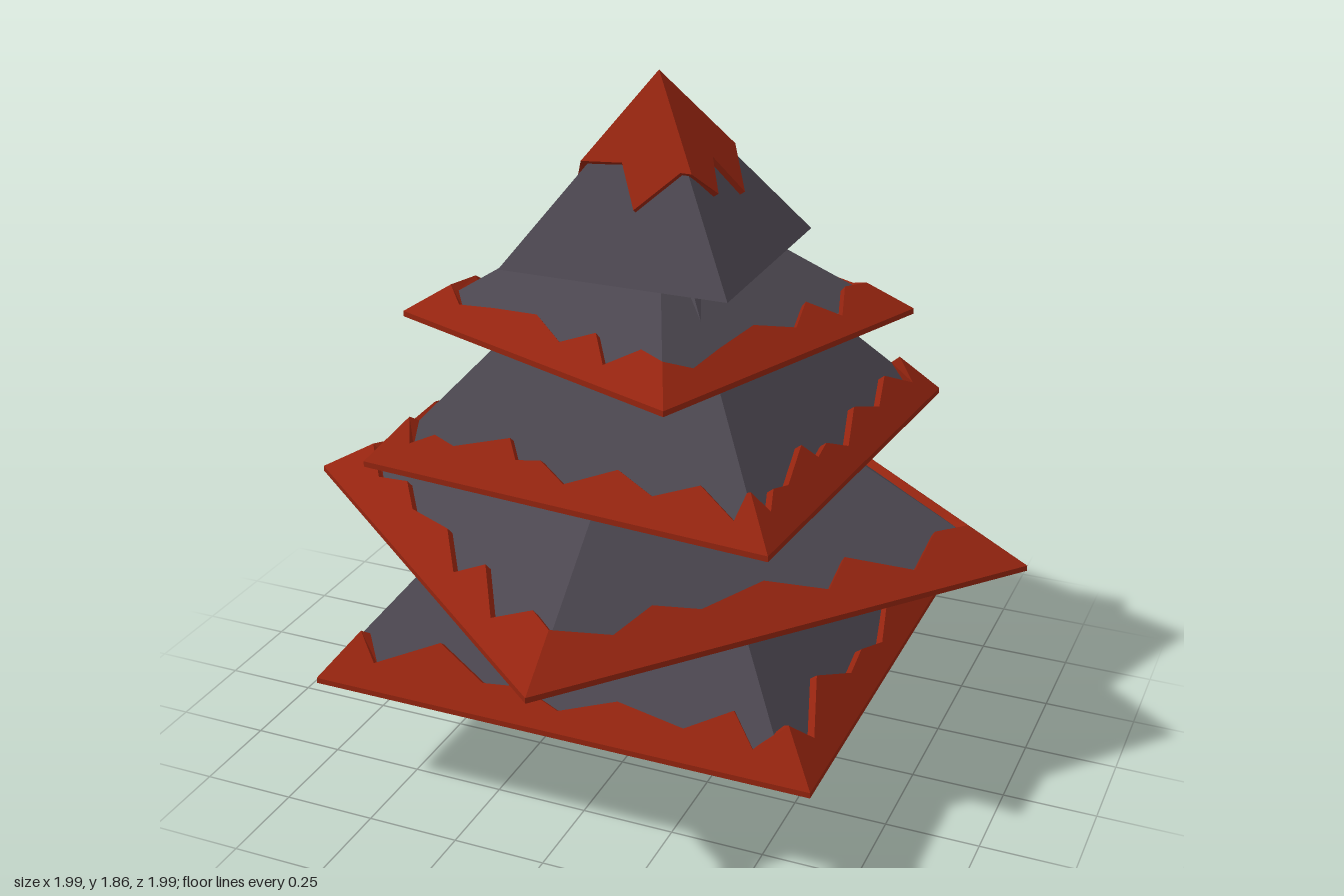
import * as THREE from 'three';

const needle = new THREE.MeshStandardMaterial({ color: 0x4b464f });
needle.name = 'slate grey';
const trim = new THREE.MeshStandardMaterial({ color: 0x94240f });
trim.name = 'rust red';
const bark = new THREE.MeshStandardMaterial({ color: 0x0b0b0b });
bark.name = 'black';
for (const m of [needle, trim, bark]) m.flatShading = true;

const THICK = 0.022; // thickness of the red trim
const LIP = 0.015;   // height of the trim's vertical rim

// Faceted geometry from a list of triangles
function facets(tris) {
  const g = new THREE.BufferGeometry().setFromPoints(tris);
  g.computeVertexNormals();
  return g;
}

// Jagged trim on one pyramid face (facing +z).
// teeth: [p, t], p = sideways / half width, t = fraction of the way up.
// The trim runs down to the rim, or up to the apex when isCap is set.
function trimFace({ half, yb, h, teeth, corner }, isCap) {
  const len = Math.hypot(half, h);
  const out = THICK * h / len, down = THICK * half / len;
  const pts = [[corner - 1, corner], ...teeth, [1 - corner, corner]];
  const outer = pts.map(([p, t]) => new THREE.Vector3(p * half, yb + t * h, half * (1 - t)));
  const last = pts.length - 1;
  const inner = outer.map((v, i) => {
    const side = i === 0 ? out : i === last ? -out : 0;
    return new THREE.Vector3(v.x + side, v.y - down, v.z - out);
  });
  const apex = new THREE.Vector3(0, yb + h, 0);
  const rim = outer.map((v, i) =>
    new THREE.Vector3(i === 0 ? -half : i === last ? half : v.x, yb, half));
  const tris = [];
  const quad = (a, b, c, d) => tris.push(a, b, c, a, c, d);
  for (let i = 0; i < last; i++) {
    const j = i + 1;
    if (isCap) {
      tris.push(outer[i], outer[j], apex);
      quad(inner[i], inner[j], outer[j], outer[i]);
    } else {
      quad(rim[i], rim[j], outer[j], outer[i]);
      quad(outer[i], outer[j], inner[j], inner[i]);
    }
  }
  if (!isCap) {
    const drop = (v) => v.clone().setY(yb - LIP);
    quad(drop(rim[0]), drop(rim[last]), rim[last], rim[0]);
  }
  return facets(tris);
}

// Square pyramid with sides parallel to x and z
function pyramid(half, y0, y1) {
  return new THREE.ConeGeometry(half * Math.SQRT2, y1 - y0, 4)
    .rotateY(Math.PI / 4).translate(0, (y0 + y1) / 2, 0);
}

function add(parent, name, geometry, material) {
  const mesh = new THREE.Mesh(geometry, material);
  mesh.name = name;
  parent.add(mesh);
  return mesh;
}

// One branch layer: underside plate, grey pyramid and four lengths of trim
function branchTier(spec) {
  const { half, yb, h, turn, x, z, twist = 0 } = spec;
  const g = new THREE.Group();
  g.name = 'branchTier';
  const plate = new THREE.CylinderGeometry(half * 0.985 * Math.SQRT2, half * 0.985 * Math.SQRT2, LIP, 4)
    .rotateY(Math.PI / 4).translate(0, yb - LIP / 2, 0);
  add(g, 'underside', plate, needle);
  const top = yb + h - THICK * Math.hypot(half, h) / half;
  const base = yb + 0.03;
  const body = add(g, 'needles', pyramid(half * (top - base) / h, base, top), needle);
  body.rotation.y = -THREE.MathUtils.degToRad(twist);
  for (let k = 0; k < 4; k++) {
    add(g, 'jaggedTrim', trimFace(spec, false), trim).rotation.y = k * Math.PI / 2;
  }
  g.rotation.y = -THREE.MathUtils.degToRad(turn);
  g.position.set(x, 0, z);
  return g;
}

const TIERS = [
  { half: 0.68, yb: 0.345, h: 0.88, turn: 0, x: 0, z: 0, twist: 2.3, corner: 0.13,
    teeth: [[-0.78, 0.063], [-0.53, 0.142], [-0.32, 0.074], [-0.16, 0.085], [0, 0.05],
      [0.22, 0.1], [0.49, 0.074], [0.66, 0.136], [0.76, 0.063]] },
  { half: 0.707, yb: 0.645, h: 0.575, turn: 39.8, x: 0, z: 0, corner: 0.16,
    teeth: [[-0.63, 0.104], [-0.457, 0.157], [-0.29, 0.113], [-0.026, 0.148], [0.2, 0.078],
      [0.31, 0.157], [0.555, 0.07], [0.7, 0.165]] },
  { half: 0.567, yb: 0.915, h: 0.7, turn: 4.6, x: 0.015, z: 0, corner: 0.155,
    teeth: [[-0.8, 0.08], [-0.69, 0.12], [-0.58, 0.1], [-0.32, 0.157], [-0.26, 0.1], [-0.14, 0.114],
      [0, 0.064], [0.23, 0.136], [0.42, 0.086], [0.62, 0.143], [0.81, 0.07]] },
  { half: 0.474, yb: 1.215, h: 0.385, turn: 21.3, x: -0.018, z: -0.05, corner: 0.19,
    teeth: [[-0.66, 0.117], [-0.42, 0.156], [-0.12, 0.195], [0.135, 0.117], [0.315, 0.208],
      [0.485, 0.09], [0.644, 0.208]] },
];

// Lower edge of the peak's cap: front, right, back, left
const CAP_TEETH = [
  [[-0.13, 0.516], [0.07, 0.29], [0.4, 0.5]],
  [[-0.27, 0.35], [0, 0.51], [0.17, 0.28]],
  [[-0.23, 0.33], [0.33, 0.46]],
  [[-0.14, 0.45], [0.15, 0.3]],
];

export function createModel() {
  const tree = new THREE.Group();
  tree.name = 'tree';

  add(tree, 'trunk', new THREE.CylinderGeometry(0.112, 0.112, 0.36, 12).translate(0, 0.18, 0), bark);
  for (const spec of TIERS) tree.add(branchTier(spec));

  // Peak with its jagged cap
  const peak = new THREE.Group();
  peak.name = 'peak';
  add(peak, 'peakNeedles', pyramid(0.31, 1.385, 1.832), needle);
  CAP_TEETH.forEach((teeth, k) => {
    const cap = trimFace({ half: 0.3, yb: 1.43, h: 0.426, teeth, corner: 0.5 }, true);
    add(peak, 'peakCap', cap, trim).rotation.y = k * Math.PI / 2;
  });
  peak.position.set(-0.018, 0, -0.05);
  tree.add(peak);
  return tree;
}
